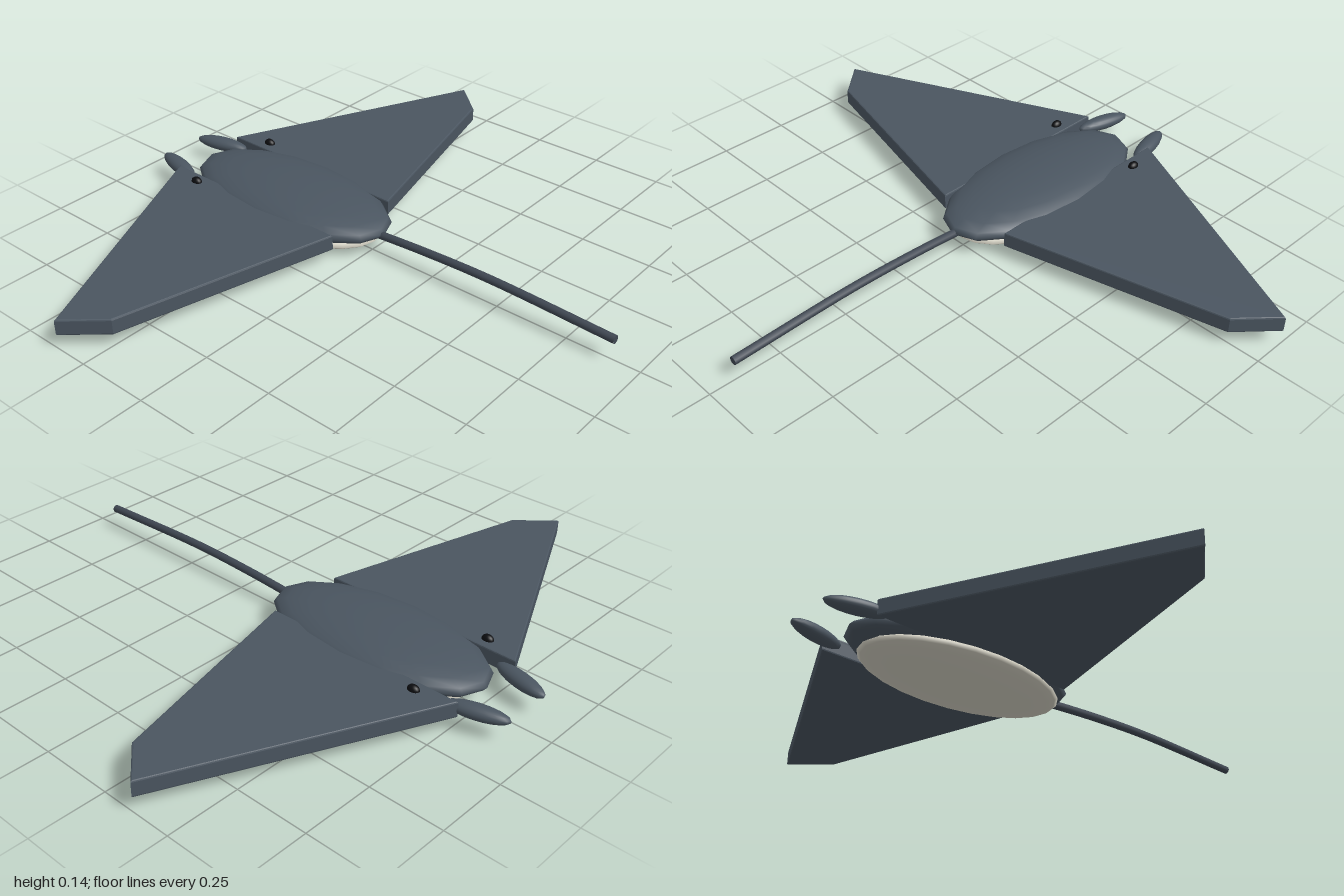
import * as THREE from 'three';

const skin = new THREE.MeshStandardMaterial({ color: 0x4a5560 });
const tailSkin = new THREE.MeshStandardMaterial({ color: 0x3f4752 });
const pale = new THREE.MeshStandardMaterial({ color: 0xd3d0c2 });
const black = new THREE.MeshStandardMaterial({ color: 0x0c0d10 });

// Ellipsoid given by its centre and three radii
function ellipsoid(name, material, centre, radii, widthSegments = 16, heightSegments = 12) {
  const geometry = new THREE.SphereGeometry(1, widthSegments, heightSegments);
  geometry.scale(...radii);
  const mesh = new THREE.Mesh(geometry, material);
  mesh.name = name;
  mesh.position.set(...centre);
  return mesh;
}

// Flat swept wing: outline in plan (x, z), extruded upwards with a small bevel
function wing(side) {
  const bevel = 0.005, bottom = 0.05, top = 0.105;
  const outline = [[0.14, -0.77], [1, -0.365], [0.89, -0.24], [0.14, -0.05]];
  const shape = new THREE.Shape(outline.map(([x, z]) => new THREE.Vector2(side * x, -z)));
  const geometry = new THREE.ExtrudeGeometry(shape, {
    depth: top - bottom - 2 * bevel,
    bevelThickness: bevel, bevelSize: bevel, bevelOffset: -bevel, bevelSegments: 2,
  });
  geometry.rotateX(-Math.PI / 2);
  geometry.translate(0, bottom + bevel, 0);
  return new THREE.Mesh(geometry, skin);
}

// Thin tail with a slight arch, closed by a disc at the tip
function tail() {
  const group = new THREE.Group();
  group.name = 'tail';
  const radius = 0.014, tip = new THREE.Vector3(0, 0.077, 0.91);
  const path = new THREE.CatmullRomCurve3([
    new THREE.Vector3(0, 0.07, -0.02),
    new THREE.Vector3(0, 0.084, 0.2),
    new THREE.Vector3(0, 0.091, 0.46),
    tip,
  ]);
  const tube = new THREE.Mesh(new THREE.TubeGeometry(path, 24, radius, 10), tailSkin);
  tube.name = 'tailRod';
  const cap = new THREE.Mesh(new THREE.CircleGeometry(radius, 10), tailSkin);
  cap.name = 'tailTip';
  cap.position.copy(tip);
  group.add(tube, cap);
  return group;
}

export function createModel() {
  const model = new THREE.Group();
  model.name = 'ray';

  model.add(ellipsoid('body', skin, [0, 0.08, -0.36], [0.2, 0.06, 0.41]));
  model.add(ellipsoid('belly', pale, [0, 0.04, -0.355], [0.196, 0.036, 0.365], 24));
  model.add(tail());

  // Paired parts
  for (const side of [1, -1]) {
    const label = side > 0 ? 'left' : 'right';
    const pectoral = wing(side);
    pectoral.name = label + 'Wing';
    const horn = ellipsoid(label + 'HeadFin', skin, [side * 0.107, 0.075, -0.813], [0.03, 0.024, 0.103]);
    horn.rotation.y = side * 0.25;
    const eye = ellipsoid(label + 'Eye', black, [side * 0.181, 0.105, -0.64], [0.015, 0.017, 0.021]);
    model.add(pectoral, horn, eye);
  }
  return model;
}
